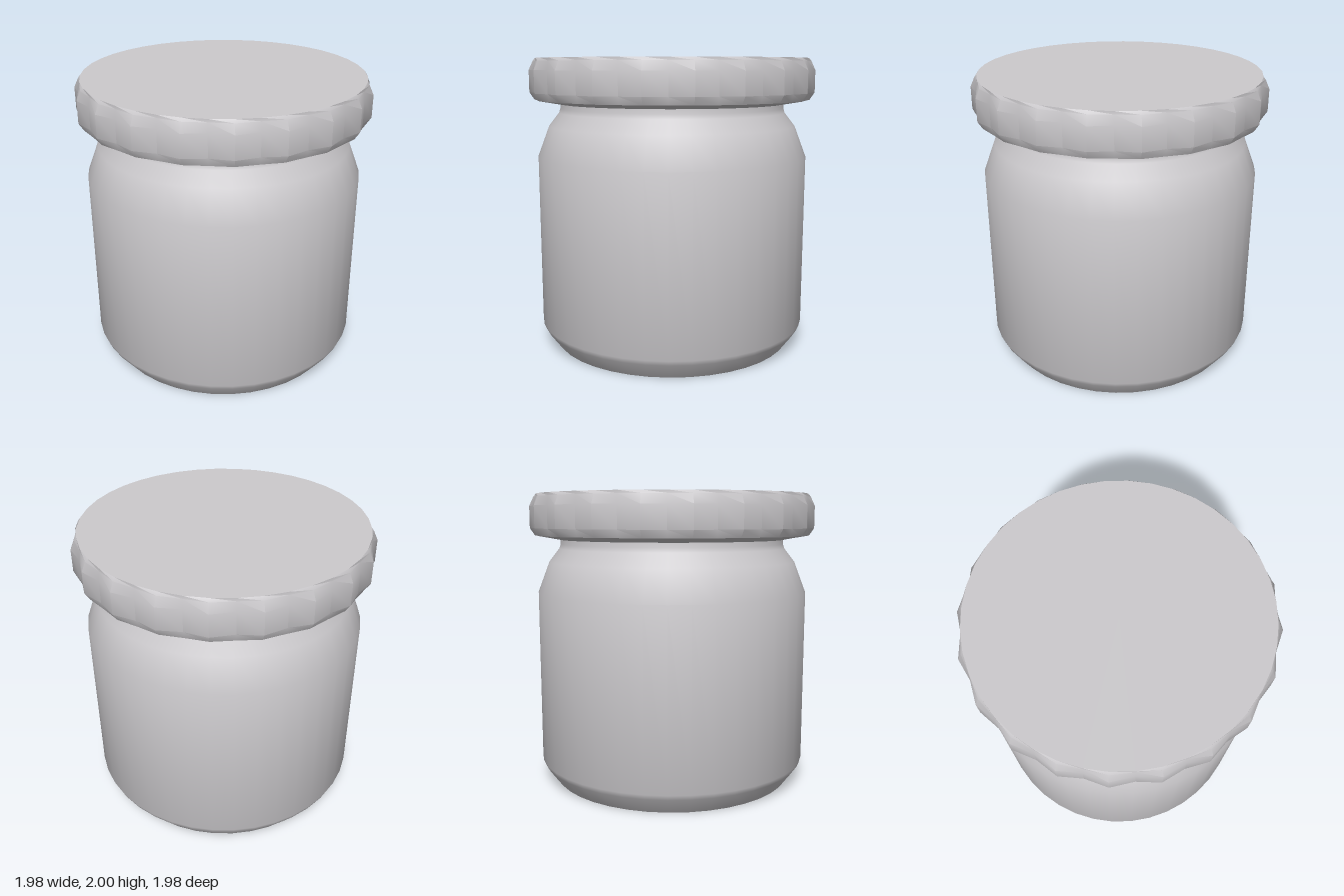
import * as THREE from 'three';
import { toCreasedNormals } from 'three/addons/utils/BufferGeometryUtils.js';

const SEGMENTS = 40;

// Revolve a [radius, height] profile, listed from bottom to top
function revolve(profile) {
  return new THREE.LatheGeometry(profile.map(([r, y]) => new THREE.Vector2(r, y)), SEGMENTS);
}

export function createModel() {
  const grey = new THREE.MeshStandardMaterial({ color: 0xcccacd });
  grey.name = 'paleGrey';
  const jar = new THREE.Group();
  jar.name = 'jar';

  function add(name, geometry, crease) {
    const mesh = new THREE.Mesh(toCreasedNormals(geometry, crease), grey);
    mesh.name = name;
    jar.add(mesh);
  }

  // Jar body: flat base, bevelled foot, straight wall, sloping shoulder and neck
  add('body', revolve([
    [0, 0], [0.84, 0], [0.925, 0.115], [0.94, 0.15], [0.94, 1.33],
    [0.86, 1.54], [0.79, 1.63], [0.78, 1.66], [0.78, 1.72],
  ]), 0.7);

  // Lid: the outer rim is pinched in between twenty ridges
  const lid = revolve([
    [0, 1.69], [0.78, 1.69], [0.955, 1.72], [0.988, 1.77],
    [0.988, 1.92], [0.96, 1.98], [0.945, 2], [0, 2],
  ]);
  const pos = lid.attributes.position;
  for (let i = 0; i < pos.count; i++) {
    const x = pos.getX(i), y = pos.getY(i), z = pos.getZ(i);
    const r = Math.hypot(x, z);
    if (r < 0.95) continue;
    const ridge = Math.round(Math.atan2(x, z) / (2 * Math.PI) * SEGMENTS) % 2 === 0;
    const k = ridge ? 1 : (r > 0.97 ? 0.967 : 0.985);
    pos.setXYZ(i, x * k, y, z * k);
  }
  add('lid', lid, 0.6);

  return jar;
}
